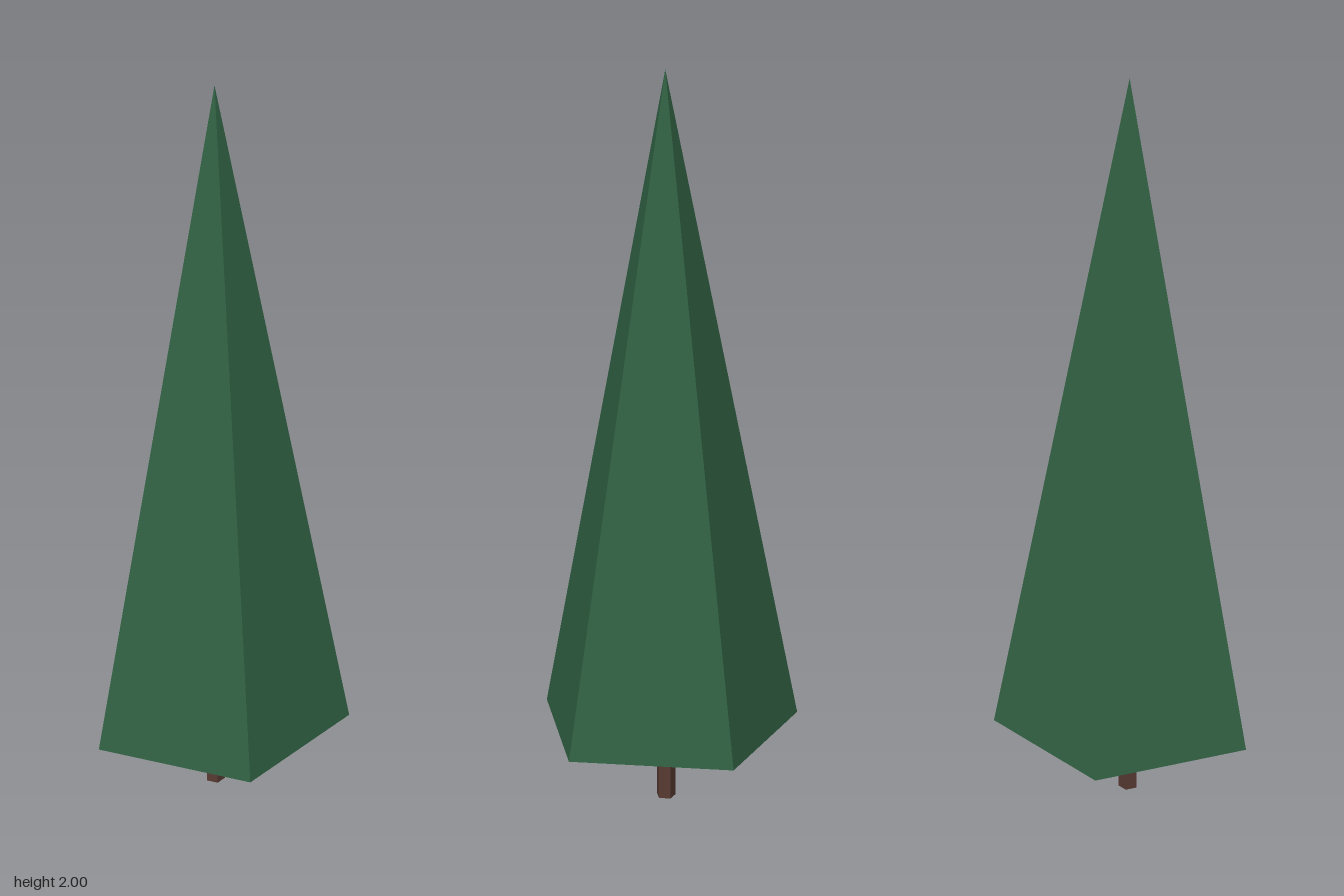
import * as THREE from 'three';

const SIDES = 5;
const CENTRE_Z = 0.034; // a pentagon's middle sits off the centre of its bounds

export function createModel() {
  const tree = new THREE.Group();
  tree.name = 'tree';

  const foliageGreen = new THREE.MeshStandardMaterial({ color: 0x316143, flatShading: true });
  foliageGreen.name = 'foliageGreen';
  const barkBrown = new THREE.MeshStandardMaterial({ color: 0x573a32, flatShading: true });
  barkBrown.name = 'barkBrown';

  // Five-sided prism or cone standing between two heights, one corner to the back
  function addPart(name, topRadius, bottomRadius, y0, y1, material) {
    const geometry = new THREE.CylinderGeometry(
      topRadius, bottomRadius, y1 - y0, SIDES, 1, false, Math.PI, Math.PI * 2);
    const mesh = new THREE.Mesh(geometry, material);
    mesh.name = name;
    mesh.position.set(0, (y0 + y1) / 2, CENTRE_Z);
    tree.add(mesh);
  }

  addPart('foliage', 0, 0.371, 0.22, 2, foliageGreen);
  addPart('trunk', 0.027, 0.027, 0, 0.23, barkBrown);

  return tree;
}
